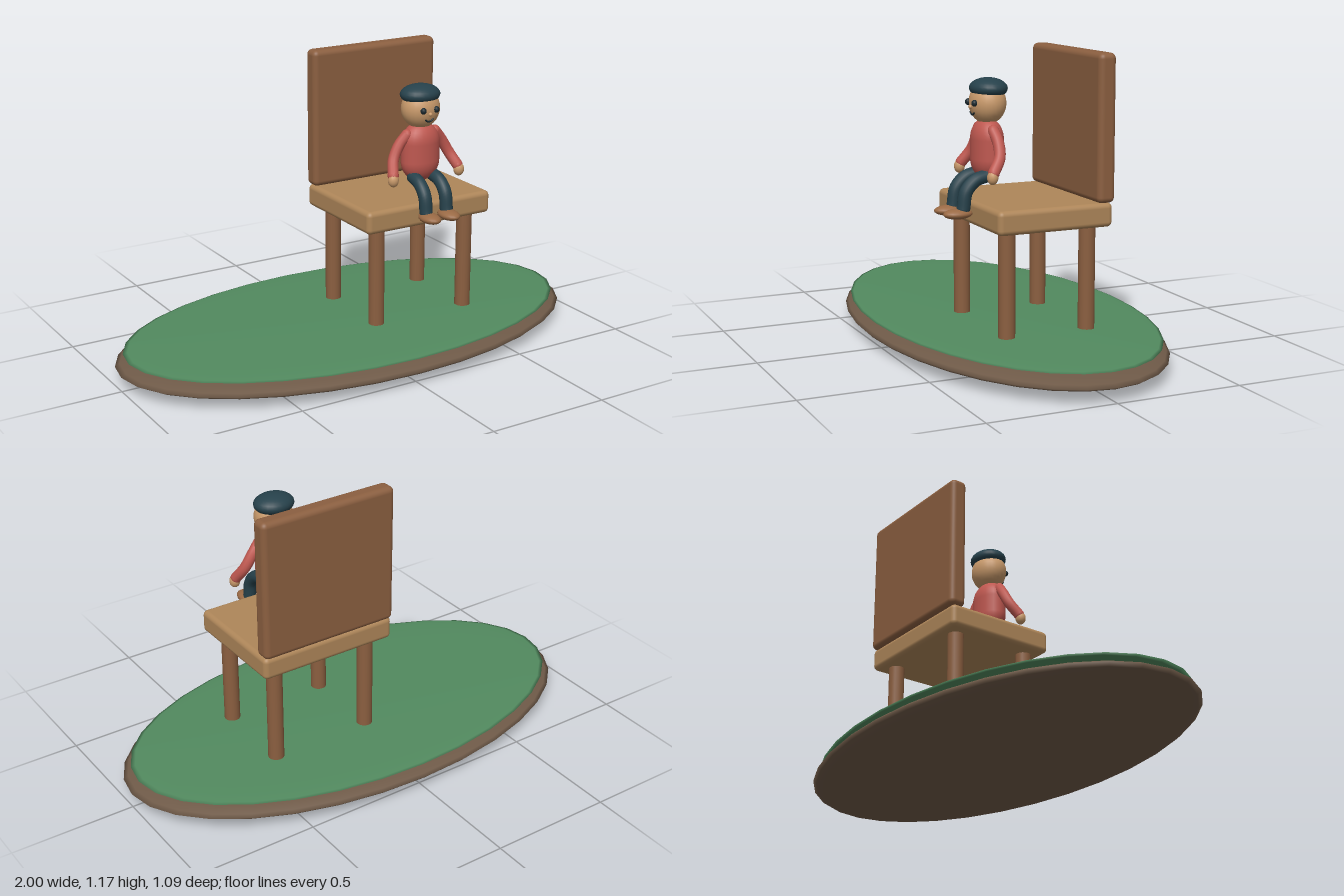
import * as THREE from 'three';
import { RoundedBoxGeometry } from 'three/addons/geometries/RoundedBoxGeometry.js';

const paint = (color) => new THREE.MeshStandardMaterial({ color, roughness: 0.8 });
const mats = {
  earth: paint(0x6f5a48), grass: paint(0x528a5f), seat: paint(0xae8659), wood: paint(0x8b5f40),
  shirt: paint(0xbf5850), skin: paint(0xc99a6b), dark: paint(0x26414b),
  shoe: paint(0x9a6a45), eye: paint(0x1c2a30),
};

function add(parent, name, geometry, material, x = 0, y = 0, z = 0) {
  const mesh = new THREE.Mesh(geometry, material);
  mesh.name = name;
  mesh.position.set(x, y, z);
  parent.add(mesh);
  return mesh;
}

// Ellipsoid with separate radii
const ball = (rx, ry, rz, w = 24, h = 16) => new THREE.SphereGeometry(1, w, h).scale(rx, ry, rz);

// Tube through points with rounded ends
function limb(parent, name, points, radius, material) {
  const pts = points.map((p) => new THREE.Vector3(...p));
  const curve = new THREE.CatmullRomCurve3(pts);
  add(parent, name, new THREE.TubeGeometry(curve, 20, radius, 12), material);
  for (const p of [pts[0], pts[pts.length - 1]]) {
    add(parent, name + 'End', ball(radius, radius, radius, 12, 8), material, p.x, p.y, p.z);
  }
}

function createIsland() {
  const g = new THREE.Group();
  g.name = 'island';
  add(g, 'earth', ball(1, 0.057, 0.545, 32, 16), mats.earth, 0, 0.057, 0);
  add(g, 'grass', ball(0.967, 0.016, 0.525, 32, 16), mats.grass, 0, 0.104, 0);
  return g;
}

function createChair() {
  const g = new THREE.Group();
  g.name = 'chair';
  add(g, 'seat', new RoundedBoxGeometry(0.58, 0.092, 0.47, 4, 0.02), mats.seat, 0, 0.564, 0);
  add(g, 'backrest', new RoundedBoxGeometry(0.58, 0.562, 0.072, 4, 0.022), mats.wood, 0, 0.889, -0.209);
  for (const x of [-0.21, 0.21]) {
    for (const z of [-0.166, 0.168]) {
      add(g, 'chairLeg', new THREE.CylinderGeometry(0.032, 0.032, 0.44, 16), mats.wood, x, 0.32, z);
    }
  }
  return g;
}

function createFigure() {
  const g = new THREE.Group();
  g.name = 'seatedFigure';

  // Body, head and cap
  const torso = add(g, 'torso', new THREE.CapsuleGeometry(0.083, 0.074, 10, 24), mats.shirt, 0, 0.8, 0.153);
  torso.scale.z = 0.72;
  add(g, 'head', ball(0.08, 0.08, 0.07), mats.skin, 0, 0.974, 0.151);
  add(g, 'cap', ball(0.083, 0.04, 0.071), mats.dark, 0, 1.03, 0.147);

  // Face
  add(g, 'nose', ball(0.008, 0.008, 0.009, 12, 8), mats.skin, 0, 0.962, 0.22);
  const mouth = add(g, 'mouth', new THREE.TorusGeometry(0.021, 0.0035, 8, 16, Math.PI * 0.7), mats.eye, 0, 0.953, 0.213);
  mouth.rotation.z = Math.PI * 1.15;

  for (const s of [-1, 1]) {
    const side = s < 0 ? 'right' : 'left';
    add(g, side + 'Eye', ball(0.012, 0.013, 0.012, 12, 8), mats.eye, s * 0.03, 0.978, 0.217);
    limb(g, side + 'Arm', [
      [s * 0.066, 0.876, 0.157], [s * 0.1, 0.835, 0.152],
      [s * 0.13, 0.782, 0.16], [s * 0.152, 0.73, 0.194],
    ], 0.022, mats.shirt);
    add(g, side + 'Hand', ball(0.022, 0.027, 0.021, 16, 12), mats.skin, s * 0.155, 0.714, 0.2);
    limb(g, side + 'Leg', [
      [s * 0.045, 0.704, 0.175], [s * 0.047, 0.69, 0.222],
      [s * 0.048, 0.65, 0.26], [s * 0.048, 0.585, 0.272],
    ], 0.026, mats.dark);
    add(g, side + 'Shoe', ball(0.038, 0.02, 0.058, 20, 12), mats.shoe, s * 0.045, 0.567, 0.293);
  }
  return g;
}

export function createModel() {
  const model = new THREE.Group();
  model.name = 'figureOnChair';
  const chair = createChair();
  const figure = createFigure();
  chair.position.x = figure.position.x = 0.24;
  model.add(createIsland(), chair, figure);
  return model;
}
